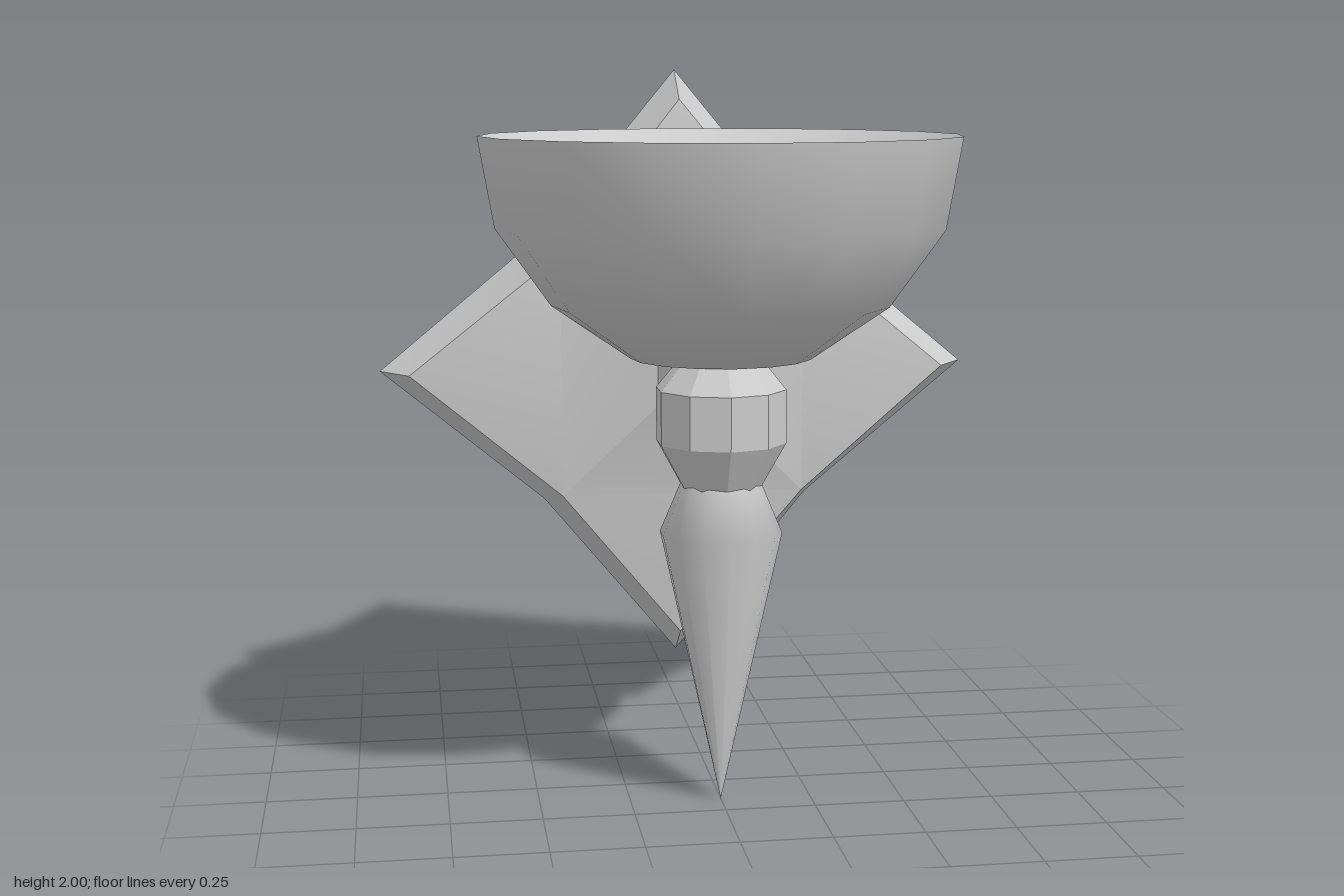
import * as THREE from 'three';
import { toCreasedNormals } from 'three/addons/utils/BufferGeometryUtils.js';

const CENTRE_Y = 1.085; // height of the wall plate and arm
const AXIS_Z = 0.158; // axis of the bowl, knob and spindle

function material(flat) {
  return new THREE.MeshStandardMaterial({ color: 0xcccccc, flatShading: flat, side: THREE.DoubleSide });
}

// Turned part from [radius, height] points
function turned(name, profile, sides, flat) {
  const points = profile.map(([r, y]) => new THREE.Vector2(r, y));
  const mesh = new THREE.Mesh(new THREE.LatheGeometry(points, sides), material(flat));
  mesh.name = name;
  mesh.position.z = AXIS_Z;
  return mesh;
}

// Repeats the polygons of one quarter four times around the z axis
function fourfold(name, polygons) {
  const positions = [];
  for (let k = 0; k < 4; k++) {
    const c = Math.round(Math.cos(k * Math.PI / 2));
    const s = Math.round(Math.sin(k * Math.PI / 2));
    for (const poly of polygons) {
      for (let i = 1; i < poly.length - 1; i++) {
        for (const [x, y, z] of [poly[0], poly[i], poly[i + 1]]) {
          positions.push(c * x - s * y, s * x + c * y, z);
        }
      }
    }
  }
  const geometry = new THREE.BufferGeometry();
  geometry.setAttribute('position', new THREE.Float32BufferAttribute(positions, 3));
  const mesh = new THREE.Mesh(toCreasedNormals(geometry, 0.3), material(false));
  mesh.name = name;
  mesh.position.y = CENTRE_Y;
  return mesh;
}

export function createModel() {
  const group = new THREE.Group();
  group.name = 'wallSconce';

  // Upper and lower corner of a square ring
  const corners = (r, z) => [[r, r, z], [r, -r, z]];
  const tip = [0.827, 0, -0.682];
  const rimTip = [0.915, 0, -0.802];
  const [rimUp, rimDown] = corners(0.414, -0.802);
  const [midUp, midDown] = corners(0.37, -0.612);
  const [armUp, armDown] = corners(0.085, -0.537);
  const [endUp, endDown] = corners(0.073, 0.02);

  // Hollow star-shaped wall plate, open at the back
  group.add(fourfold('wallPlate', [
    [tip, midUp, midDown],
    [armDown, midDown, midUp, armUp],
    [tip, rimTip, rimUp, midUp],
    [tip, midDown, rimDown, rimTip],
  ]));

  // Hollow tapered arm from the plate to the knob
  group.add(fourfold('arm', [[endDown, armDown, armUp, endUp]]));

  // Ten-sided knob
  group.add(turned('knob', [[0.1, 0.87], [0.178, 1.01], [0.178, 1.155], [0.12, 1.225]], 10, true));

  // Pointed spindle below the knob
  group.add(turned('spindle', [[0, 0], [0.167, 0.76], [0.1, 0.92]], 14, false));

  // Rounded bowl with a cone-shaped hollow
  const bowl = [[0, 1.205], [0.245, 1.24], [0.455, 1.385], [0.6, 1.59], [0.642, 1.83]];
  group.add(turned('bowl', bowl, 16, false));
  group.add(turned('bowlHollow', [[0.642, 1.83], [0, 1.28]], 16, false));

  return group;
}
